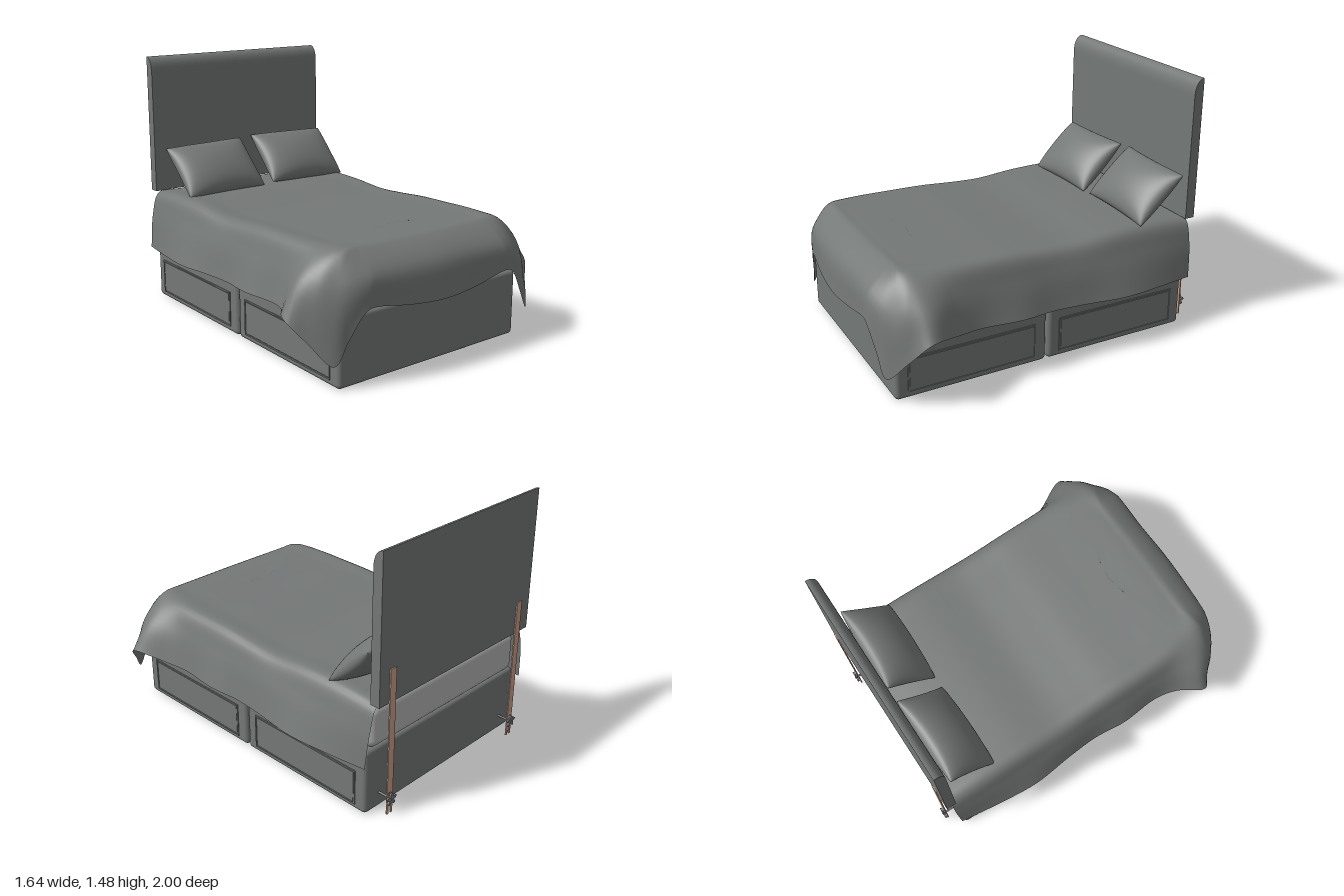
import * as THREE from 'three';
import { RoundedBoxGeometry } from 'three/addons/geometries/RoundedBoxGeometry.js';
import { mergeGeometries, mergeVertices } from 'three/addons/utils/BufferGeometryUtils.js';

const mat = (name, color, side = THREE.FrontSide) => {
  const m = new THREE.MeshStandardMaterial({ color, side });
  m.name = name;
  return m;
};
const V = (x, y, z) => new THREE.Vector3(x, y, z);

export function createModel() {
  const fabric = mat('grey fabric', 0x747877);
  const cloth = mat('grey cloth', 0x747877, THREE.DoubleSide);
  const ticking = mat('pale mattress', 0xb4b4b4);
  const wood = mat('wood', 0xcb9f8a);
  const model = new THREE.Group();

  const add = (name, geo, material, x = 0, y = 0, z = 0) => {
    const mesh = new THREE.Mesh(geo, material);
    mesh.name = name;
    mesh.position.set(x, y, z);
    model.add(mesh);
    return mesh;
  };
  const extrude = (shape, depth) =>
    new THREE.ExtrudeGeometry(shape, { depth, bevelEnabled: false, curveSegments: 16 });
  const rect = (Type, w, h) => new Type().moveTo(-w / 2, -h / 2).lineTo(w / 2, -h / 2)
    .lineTo(w / 2, h / 2).lineTo(-w / 2, h / 2).closePath();

  // Divan base: two boxes, each with a drawer on both sides
  for (const [z, name] of [[0.452, 'frontBase'], [-0.457, 'rearBase']]) {
    add(name, new RoundedBoxGeometry(1.25, 0.378, 0.9, 4, 0.025), fabric, 0, 0.189, z);
    for (const side of [-1, 1]) {
      const frame = rect(THREE.Shape, 0.76, 0.205);
      frame.holes.push(rect(THREE.Path, 0.744, 0.189));
      const panel = extrude(rect(THREE.Shape, 0.736, 0.181), 0.004);
      const drawer = mergeGeometries([extrude(frame, 0.005), panel]);
      add('drawerFront', drawer, fabric, side * 0.625, 0.138, z).rotation.y = side * Math.PI / 2;
    }
  }

  add('mattress', new RoundedBoxGeometry(1.2, 0.245, 1.8, 5, 0.05), ticking, 0, 0.5, -0.02);

  // Headboard: side profile with a rounded top front edge
  const board = new THREE.Shape().moveTo(0.917, 0.66).lineTo(0.975, 0.66).lineTo(0.975, 1.48)
    .bezierCurveTo(0.945, 1.48, 0.917, 1.45, 0.917, 1.38).closePath();
  add('headboard', extrude(board, 1.23), fabric, -0.617, 0, 0).geometry.rotateY(Math.PI / 2)
    .scale(1, 1, 1);

  // Duvet: half of the stations from the head end round to the foot.
  // Each row is rim x, rim z, then mid point, then hem point.
  const stations = [
    [0.59, -0.94, 0.635, 0.52, -0.94, 0.66, 0.31, -0.93],
    [0.59, -0.7, 0.645, 0.53, -0.7, 0.695, 0.315, -0.7],
    [0.59, -0.45, 0.65, 0.53, -0.45, 0.72, 0.32, -0.45],
    [0.59, -0.2, 0.65, 0.53, -0.2, 0.70, 0.328, -0.2],
    [0.59, 0.0, 0.645, 0.53, 0.0, 0.692, 0.333, 0.0],
    [0.59, 0.2, 0.65, 0.53, 0.2, 0.712, 0.338, 0.2],
    [0.59, 0.42, 0.65, 0.54, 0.42, 0.70, 0.345, 0.42],
    [0.585, 0.58, 0.665, 0.55, 0.57, 0.735, 0.36, 0.57],
    [0.57, 0.71, 0.72, 0.55, 0.72, 0.82, 0.38, 0.74],
    [0.56, 0.78, 0.69, 0.53, 0.82, 0.745, 0.265, 0.84],
    [0.53, 0.82, 0.63, 0.5, 0.89, 0.655, 0.15, 0.93],
    [0.49, 0.83, 0.56, 0.53, 0.93, 0.58, 0.27, 0.95],
    [0.44, 0.83, 0.48, 0.56, 0.95, 0.505, 0.395, 0.97],
    [0.38, 0.83, 0.41, 0.57, 0.955, 0.43, 0.42, 0.975],
    [0.2, 0.83, 0.21, 0.57, 0.96, 0.22, 0.385, 0.987],
    [0, 0.83, 0, 0.57, 0.965, 0, 0.372, 0.998],
  ];
  const step = THREE.MathUtils.smoothstep;
  const top = z => 0.668 - 0.025 * Math.exp(-(((z + 0.15) / 0.25) ** 2))
    + 0.012 * step(z, 0.3, 0.8) - 0.018 * step(-z, 0.6, 0.95);
  const levels = [[], [], [], [], []];
  const putStation = ([rx, rz, mx, my, mz, hx, hy, hz], side) => {
    const zc = Math.min(rz, 0.55);
    const skew = side * 0.03 * step(hz, 0.55, 0.75) * step(hx, 0.2, 0.65); // uneven corners
    const zi = zc + (rz - zc) * 0.75;
    levels[0].push(V(0, top(zc), zc));
    levels[1].push(V(side * rx * 0.75, top(zi), zi));
    levels[2].push(V(side * rx, top(rz) - 0.006, rz));
    levels[3].push(V(side * mx, my, mz + skew / 2));
    levels[4].push(V(side * hx, hy + skew * 0.6, hz + skew));
  };
  stations.forEach(s => putStation(s, 1));
  stations.slice(0, -1).reverse().forEach(s => putStation(s, -1));
  const rails = levels.map(p => new THREE.CatmullRomCurve3(p, false, 'catmullrom', 0.5));
  const NS = 180, NT = 24, pos = [], idx = [];
  for (let i = 0; i <= NS; i++) {
    const section = new THREE.CatmullRomCurve3(rails.map(r => r.getPoint(i / NS)));
    for (let j = 0; j <= NT; j++) {
      pos.push(...section.getPoint(j / NT).toArray());
      if (i < NS && j < NT) {
        const a = i * (NT + 1) + j, b = a + NT + 1;
        idx.push(a, b, a + 1, b, b + 1, a + 1);
      }
    }
  }
  const duvet = new THREE.BufferGeometry();
  duvet.setAttribute('position', new THREE.Float32BufferAttribute(pos, 3));
  duvet.setIndex(idx);
  duvet.computeVertexNormals();
  add('duvet', duvet, cloth);

  // Pillows: two bulging faces with drawn-in edges and pulled corners
  const pillowHalf = sign => {
    const g = new THREE.PlaneGeometry(2, 2, 32, 24);
    if (sign < 0) g.rotateY(Math.PI);
    const p = g.attributes.position;
    for (let i = 0; i < p.count; i++) {
      const u = Math.sin(p.getX(i) * Math.PI / 2), v = Math.sin(p.getY(i) * Math.PI / 2);
      const eu = Math.max(0, 1 - u * u), ev = Math.max(0, 1 - v * v);
      p.setXYZ(i, 0.28 * u * (1 - 0.07 * ev) * (1 - 0.04 * u * u * v * v),
        0.195 * v * (1 - 0.08 * eu) * (1 - 0.04 * u * u * v * v),
        sign * 0.088 * Math.pow(eu * ev, 0.45));
    }
    g.deleteAttribute('uv');
    g.deleteAttribute('normal');
    return g;
  };
  const pillow = mergeVertices(mergeGeometries([pillowHalf(1), pillowHalf(-1)]), 1e-4);
  pillow.computeVertexNormals();
  for (const [x, y, roll] of [[-0.283, 0.795, 0.02], [0.33, 0.802, -0.03]]) {
    add('pillow', pillow, fabric, x, y, -0.757).rotation.set(-0.8, 0, roll);
  }

  // Headboard struts with a slotted foot, each held by a bolt with a lobed knob
  const strut = new THREE.Shape().moveTo(-0.021, 0).lineTo(-0.007, 0).lineTo(-0.007, 0.13)
    .lineTo(0.007, 0.13).lineTo(0.007, 0).lineTo(0.021, 0).lineTo(0.021, 0.85)
    .lineTo(-0.021, 0.85).closePath();
  const lobes = [];
  for (let i = 0; i < 50; i++) {
    const a = i / 50 * Math.PI * 2, r = 0.027 + 0.01 * Math.cos(5 * a);
    lobes.push(new THREE.Vector2(r * Math.sin(a), r * Math.cos(a)));
  }
  for (const x of [-0.52, 0.52]) {
    add('strut', extrude(strut, 0.007), wood, x, 0, -0.982);
    add('knob', extrude(new THREE.Shape(lobes), 0.012), fabric, x, 0.093, -0.997);
    add('bolt', new THREE.CylinderGeometry(0.006, 0.006, 0.1, 12).rotateX(Math.PI / 2),
      fabric, x, 0.093, -0.95);
  }

  // Rounded profile was drawn with depth behind the bed as its x axis
  return model;
}
